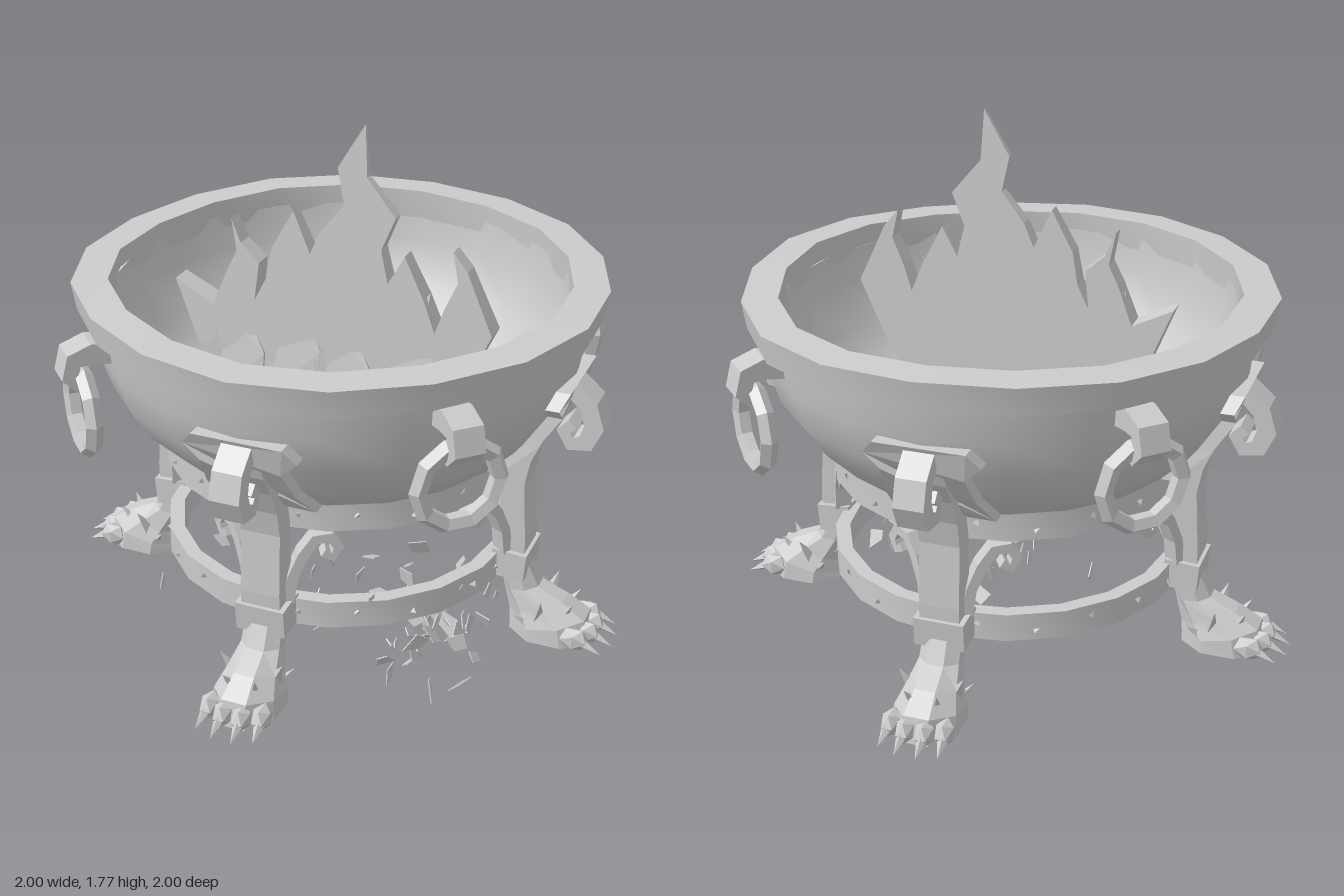
import * as THREE from 'three';
import { toCreasedNormals } from 'three/addons/utils/BufferGeometryUtils.js';

const smooth = new THREE.MeshStandardMaterial({ color: 0xcccccc, side: THREE.DoubleSide });
const flat = new THREE.MeshStandardMaterial({ color: 0xcccccc, flatShading: true, side: THREE.DoubleSide });

function add(parent, name, geo, mat = flat) {
  const m = new THREE.Mesh(geo, mat);
  m.name = name;
  parent.add(m);
  return m;
}

let seed = 7;
const rand = (a, b) => {
  seed = (seed * 16807) % 2147483647;
  return a + (b - a) * (seed / 2147483647);
};

const toShape = pts => new THREE.Shape(pts.map(p => new THREE.Vector2(p[0], p[1])));

// Extruded outline, centred on its depth
function slab(pts, depth) {
  const g = new THREE.ExtrudeGeometry(toShape(pts), { depth, bevelEnabled: false });
  return g.translate(0, 0, -depth / 2);
}

// Bent strip through [x, y, thickness] points
function ribbon(pts, width) {
  const a = [], b = [];
  pts.forEach(([x, y, t], i) => {
    const p = pts[Math.max(i - 1, 0)], q = pts[Math.min(i + 1, pts.length - 1)];
    const dx = q[0] - p[0], dy = q[1] - p[1], l = Math.hypot(dx, dy);
    a.push([x - dy / l * t / 2, y + dx / l * t / 2]);
    b.unshift([x + dy / l * t / 2, y - dx / l * t / 2]);
  });
  return slab([...a, ...b], width);
}

const lathe = (pts, seg, crease) => toCreasedNormals(
  new THREE.LatheGeometry(pts.map(p => new THREE.Vector2(p[0], p[1])), seg), crease);

// Outer radius of the bowl at each height
const bowlOuter = [[0, 0.53], [0.2, 0.54], [0.42, 0.6], [0.6, 0.68], [0.71, 0.79], [0.78, 0.9], [0.815, 1.02], [0.83, 1.15]];
function bowlRadius(y) {
  for (let i = 1; i < bowlOuter.length; i++) {
    const [r0, y0] = bowlOuter[i - 1], [r1, y1] = bowlOuter[i];
    if (y <= y1) return r0 + (r1 - r0) * (y - y0) / (y1 - y0);
  }
  return 0.83;
}

// Paw body from octagonal sections: [backX, backY, frontX, frontY, halfWidth]
function pawBody() {
  const rows = [[0.59, 0.27, 0.69, 0.27, 0.065], [0.61, 0.18, 0.73, 0.19, 0.068],
    [0.635, 0.09, 0.82, 0.15, 0.085], [0.64, 0.04, 0.9, 0.1, 0.105], [0.64, 0.015, 0.92, 0.015, 0.11]];
  const n = 8, pos = [], idx = [];
  for (const [bx, by, fx, fy, w] of rows) {
    for (let i = 0; i < n; i++) {
      const a = (i + 0.5) / n * Math.PI * 2, k = 1.08;
      const t = THREE.MathUtils.clamp(0.5 + 0.5 * k * Math.cos(a), 0, 1);
      pos.push(bx + (fx - bx) * t, by + (fy - by) * t, w * k * Math.sin(a));
    }
  }
  for (let r = 0; r < rows.length - 1; r++) for (let i = 0; i < n; i++) {
    const a = r * n + i, b = r * n + (i + 1) % n;
    idx.push(a, b, a + n, b, b + n, a + n);
  }
  for (let i = 1; i < n - 1; i++) idx.push(32, 32 + i, 32 + i + 1);
  const g = new THREE.BufferGeometry();
  g.setAttribute('position', new THREE.Float32BufferAttribute(pos, 3));
  g.setIndex(idx);
  g.computeVertexNormals();
  return g;
}

function spike(parent, name, r, h, x, y, z, dir) {
  const m = add(parent, name, new THREE.ConeGeometry(r, h, 4));
  m.position.set(x, y, z);
  m.quaternion.setFromUnitVectors(new THREE.Vector3(0, 1, 0), new THREE.Vector3(...dir).normalize());
}

// One leg facing +x: plate, scroll, shaft, cuff, paw and side curls
function makeLeg() {
  const leg = new THREE.Group();
  leg.name = 'leg';

  const half = [[0.17, 0.68], [0.15, 0.79], [0.135, 0.9], [0.19, 0.95], [0.15, 1.0]];
  const plate = slab([...half, ...half.map(([z, y]) => [-z, y]).reverse()], 0.07);
  plate.rotateY(Math.PI / 2);
  const p = plate.attributes.position;
  for (let i = 0; i < p.count; i++) {
    const z = p.getZ(i);
    p.setX(i, p.getX(i) + bowlRadius(p.getY(i)) + 0.005 - z * z / 1.5);
  }
  add(leg, 'backPlate', plate);

  add(leg, 'legShaft', ribbon([[0.64, 0.25, 0.09], [0.64, 0.38, 0.095], [0.637, 0.5, 0.085], [0.635, 0.6, 0.08],
    [0.655, 0.7, 0.08], [0.7, 0.8, 0.08], [0.75, 0.88, 0.08], [0.78, 0.95, 0.07]], 0.135));
  add(leg, 'legScroll', ribbon([[0.75, 0.94, 0.06], [0.81, 0.965, 0.06], [0.87, 0.91, 0.06], [0.89, 0.84, 0.065],
    [0.865, 0.78, 0.06], [0.815, 0.77, 0.05], [0.79, 0.81, 0.045], [0.82, 0.84, 0.04]], 0.1));

  const cuff = add(leg, 'cuff', new THREE.BoxGeometry(0.12, 0.1, 0.17));
  cuff.position.set(0.635, 0.285, 0);
  cuff.rotation.z = -0.08;

  add(leg, 'paw', pawBody());
  for (const z of [-0.09, -0.032, 0.032, 0.09]) {
    const out = Math.abs(z) > 0.05 ? 0 : 0.025;
    const toe = add(leg, 'toe', new THREE.IcosahedronGeometry(0.04, 0));
    toe.scale.set(1.35, 1.1, 0.85);
    toe.position.set(0.88 + out, 0.055, z);
    spike(leg, 'claw', 0.018, 0.07, 0.945 + out, 0.035, z * 1.08, [1, -0.45, z]);
  }
  for (const s of [-1, 1]) {
    spike(leg, 'furTuft', 0.035, 0.12, 0.75, 0.13, s * 0.085, [0.3, 1, s * 0.5]);
    spike(leg, 'furTuft', 0.03, 0.1, 0.7, 0.08, s * 0.085, [-0.6, 0.6, s * 0.5]);
    spike(leg, 'furTuft', 0.025, 0.08, 0.84, 0.13, s * 0.045, [0.6, 1, s * 0.3]);

    const curl = add(leg, 'sideCurl', ribbon([[0, 0.33, 0.04], [0.015, 0.42, 0.035], [0.05, 0.5, 0.035], [0.09, 0.555, 0.035],
      [0.14, 0.56, 0.035], [0.165, 0.52, 0.035], [0.145, 0.485, 0.03], [0.115, 0.505, 0.03]], 0.055));
    curl.position.set(0.61, 0, s * 0.06);
    curl.rotation.y = -s * (Math.PI / 2 + 0.55);
  }
  return leg;
}

// Hook and hanging ring facing +x
function makeHandle() {
  const handle = new THREE.Group();
  handle.name = 'ringHandle';
  add(handle, 'hook', ribbon([[0.79, 1.09, 0.07], [0.87, 1.1, 0.07], [0.93, 1.085, 0.06], [0.945, 1.03, 0.055],
    [0.91, 0.995, 0.05], [0.87, 1.01, 0.04]], 0.1));
  const ring = add(handle, 'ring', new THREE.TorusGeometry(0.135, 0.03, 5, 10));
  ring.position.set(0.9, 0.895, 0);
  ring.rotation.set(0, Math.PI / 2, 0);
  return handle;
}

export function createModel() {
  const model = new THREE.Group();
  model.name = 'brazier';

  // Bowl shell and heavy rim with a slightly beaten top
  add(model, 'bowl', lathe([...bowlOuter, [0.77, 1.17], [0.76, 1.05], [0.71, 0.9], [0.61, 0.77], [0.45, 0.68],
    [0.23, 0.62], [0, 0.6]], 20, 0.7), smooth);
  const rimGeo = new THREE.LatheGeometry([[0.77, 1.13], [0.87, 1.135], [0.885, 1.23], [0.765, 1.235], [0.77, 1.13]]
    .map(q => new THREE.Vector2(...q)), 18);
  const rp = rimGeo.attributes.position;
  for (let i = 0; i < rp.count; i++) {
    const a = Math.atan2(rp.getZ(i), rp.getX(i)), k = 1 + 0.008 * Math.sin(a * 5);
    rp.setXYZ(i, rp.getX(i) * k, rp.getY(i) + 0.006 * Math.sin(a * 3 + 1), rp.getZ(i) * k);
  }
  add(model, 'rim', toCreasedNormals(rimGeo, 0.6), smooth);

  // Two hoops with small studs
  for (const [name, y0, y1, r] of [['upperBand', 0.59, 0.685, 0.605], ['lowerBand', 0.23, 0.325, 0.61]]) {
    add(model, name, lathe([[r - 0.05, y0], [r, y0], [r, y1], [r - 0.05, y1], [r - 0.05, y0]], 20, 0.6), smooth);
    for (let i = 0; i < 20; i++) {
      const a = (i + 0.5) / 20 * Math.PI * 2;
      const stud = add(model, 'stud', new THREE.TetrahedronGeometry(0.014));
      stud.position.set(Math.cos(a) * (r - 0.006), (y0 + y1) / 2 + 0.015 * Math.sin(i * 2.3), Math.sin(a) * (r - 0.006));
      stud.rotation.set(i, i * 2, 0);
    }
  }

  for (let i = 0; i < 4; i++) {
    const leg = makeLeg(), handle = makeHandle();
    leg.rotation.y = i * Math.PI / 2;
    handle.rotation.y = (i + 0.5) * Math.PI / 2;
    model.add(leg, handle);
  }

  // Thin flame sheet, tapering towards its tips
  function flame(name, pts, zBack, zFront) {
    const g = slab(pts, 1), q = g.attributes.position;
    const top = Math.max(...pts.map(v => v[1]));
    for (let i = 0; i < q.count; i++) {
      const t = THREE.MathUtils.clamp((q.getY(i) - 0.9) / (top - 0.9), 0, 1);
      const z = q.getZ(i) > 0 ? zFront + (0.115 - zFront) * t : zBack + (0.105 - zBack) * t;
      q.setZ(i, z);
    }
    add(model, name, g);
  }
  flame('mainFlame', [[-0.25, 0.68], [0.27, 0.68], [0.42, 0.85], [0.5, 1.0], [0.57, 1.15], [0.52, 1.26], [0.48, 1.35], [0.43, 1.41],
    [0.45, 1.31], [0.41, 1.22], [0.38, 1.13], [0.34, 1.23], [0.27, 1.37], [0.215, 1.27], [0.19, 1.38], [0.235, 1.49],
    [0.135, 1.61], [0.125, 1.78], [0.035, 1.63], [0.06, 1.51], [-0.02, 1.41], [-0.055, 1.33], [-0.115, 1.465],
    [-0.19, 1.33], [-0.21, 1.22], [-0.25, 1.14], [-0.235, 1.27], [-0.3, 1.33], [-0.335, 1.41], [-0.315, 1.3],
    [-0.35, 1.23], [-0.4, 1.1], [-0.54, 1.17], [-0.46, 0.97], [-0.38, 0.8]], 0.06, 0.17);
  const wisp = [[-0.08, 0.7], [0.08, 0.7], [0.11, 0.88], [0.06, 1.0], [0.07, 1.13], [-0.01, 1.02], [-0.09, 0.88]];
  for (const [x, s] of [[-0.3, -1], [-0.12, 1], [0.08, -1], [0.28, 1]]) {
    flame('smallFlame', wisp.map(([u, v]) => [x + u * s, v + 0.02 * s + 0.1]), 0.13, 0.19);
  }

  // Loose splinters under the bowl
  for (let i = 0; i < 60; i++) {
    const near = i < 45, s = rand(0.015, 0.038);
    const shard = add(model, 'shard', slab([[-s, -s], [s * rand(0.5, 1.2), -s * 0.7], [s * 0.8, s], [-s * rand(0.2, 0.8), s * 0.8]], 0.004));
    const x = near ? rand(0.3, 0.64) : rand(-0.52, 0.2);
    const z = near ? rand(0.12, 0.56) : rand(-0.12, 0.5);
    const y = near ? 0.05 + 0.32 * rand(0, 1) * rand(0.2, 1) : rand(0.05, 0.18);
    shard.position.set(x, y, z);
    shard.rotation.set(rand(0, 6), rand(0, 6), rand(0, 6));
  }
  return model;
}
